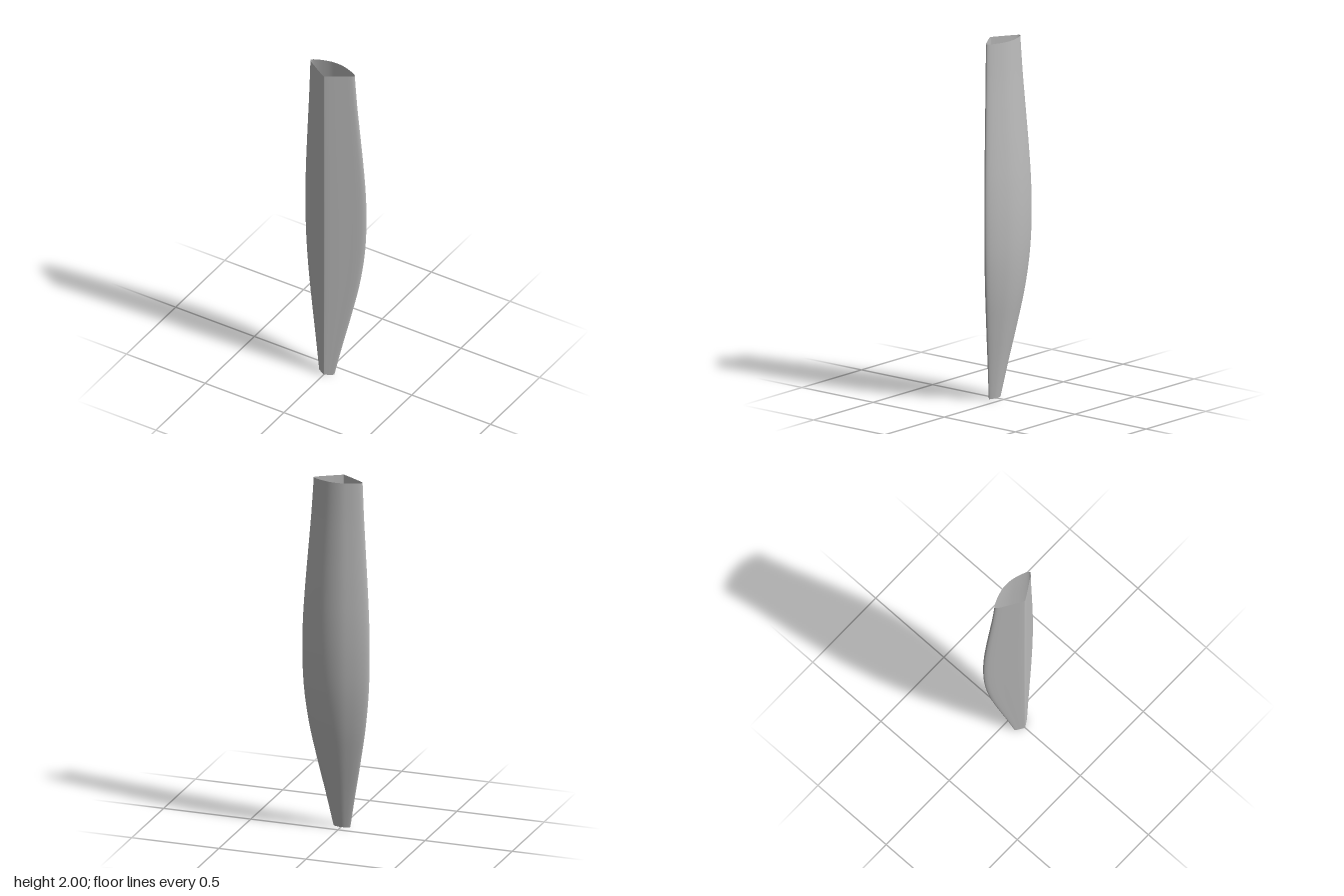
import * as THREE from 'three';
import { mergeVertices } from 'three/addons/utils/BufferGeometryUtils.js';

const FRONT = 0.095; // the front ridge stays straight at this depth

export function createModel() {
  const grey = new THREE.MeshStandardMaterial({ color: 0xbcbcbc, side: THREE.DoubleSide });
  grey.name = 'plain grey';

  // widest cross-section: left half from the front ridge round to the back, then mirrored
  const half = [
    [0, 0.095], [0.012, 0.09], [0.06, 0.062], [0.12, 0.025], [0.165, -0.003], [0.185, -0.018],
    [0.193, -0.03], [0.185, -0.041], [0.15, -0.06], [0.1, -0.078], [0.05, -0.091], [0, -0.095],
  ];
  const mirrored = half.slice(1, -1).reverse().map(([x, z]) => [-x, z]);
  const section = new THREE.CatmullRomCurve3(
    [...half, ...mirrored].map(([x, z]) => new THREE.Vector3(x, 0, z)), true);

  // half width at even steps of height, from the narrow foot to the top
  const widths = [0.048, 0.086, 0.126, 0.162, 0.185, 0.193, 0.19, 0.179, 0.165, 0.151, 0.14];
  const profile = new THREE.SplineCurve(widths.map((w, i) => new THREE.Vector2(w, i * 0.2)));

  // open tube, each ring scaled towards the front ridge
  const tube = new THREE.CylinderGeometry(1, 1, 2, 88, 50, true);
  const pos = tube.attributes.position;
  const uv = tube.attributes.uv;
  for (let i = 0; i < pos.count; i++) {
    const p = section.getPoint(uv.getX(i) % 1);
    const ring = profile.getPoint(uv.getY(i));
    const s = ring.x / 0.193;
    pos.setXYZ(i, p.x * s, ring.y, FRONT + (p.z - FRONT) * s);
  }

  // weld the seam so that the shading is smooth all round
  tube.deleteAttribute('uv');
  tube.deleteAttribute('normal');
  const geometry = mergeVertices(tube, 1e-5);
  geometry.computeVertexNormals();

  const shell = new THREE.Mesh(geometry, grey);
  shell.name = 'taperedShell';
  const group = new THREE.Group();
  group.name = 'openTaperedTube';
  group.add(shell);
  return group;
}
